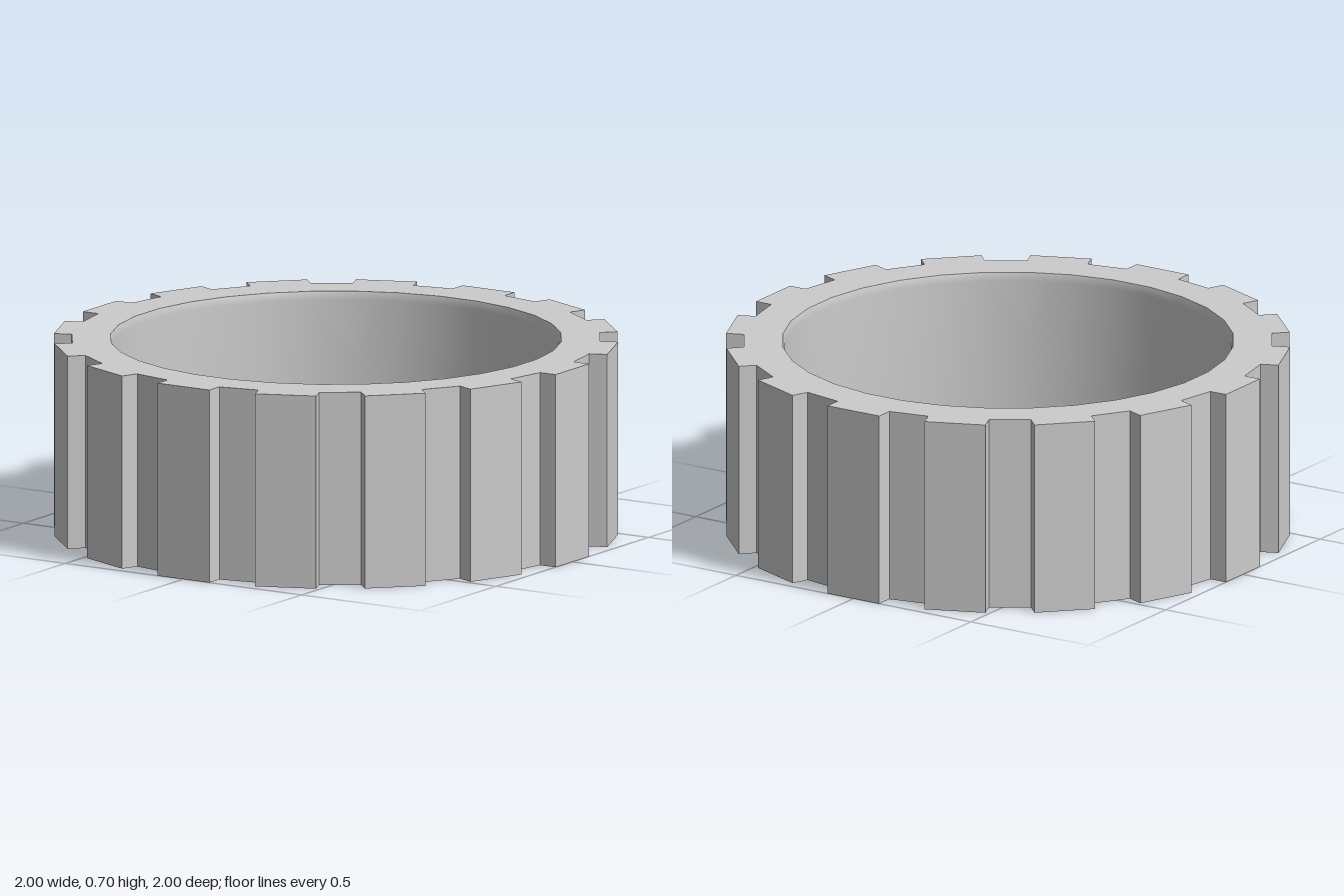
import * as THREE from 'three';

const HEIGHT = 0.7;
const TEETH = 16;
const ROOT = 0.935;     // distance of the tooth foot from the axis
const TIP = 1;          // distance of the flat tooth top from the axis
const HALF_TOOTH = 0.11;
const RIM = 0.804;      // bore radius at both rims
const BORE = 0.796;     // bore radius inside the rim chamfers
const SIDES = 32;

// Toothed outline, counter-clockwise, with parallel-sided teeth
function gearOutline() {
  const points = [];
  const centre = new THREE.Vector2();
  const tooth = [[ROOT, -1], [TIP, -1], [TIP, 1], [ROOT, 1]];
  for (let i = 0; i < TEETH; i++) {
    const angle = (i / TEETH) * Math.PI * 2;
    for (const [r, side] of tooth) {
      points.push(new THREE.Vector2(r, side * HALF_TOOTH).rotateAround(centre, angle));
    }
  }
  return points;
}

// Polygonal bore opening, clockwise
function boreOutline() {
  return Array.from({ length: SIDES }, (_, i) => {
    const a = -((i + 0.5) / SIDES) * Math.PI * 2;
    return new THREE.Vector2(RIM * Math.cos(a), RIM * Math.sin(a));
  });
}

// Flat-shaded upright wall following a closed outline
function wallGeometry(outline) {
  const positions = [];
  outline.forEach((a, i) => {
    const b = outline[(i + 1) % outline.length];
    positions.push(a.x, a.y, 0, b.x, b.y, 0, b.x, b.y, HEIGHT);
    positions.push(a.x, a.y, 0, b.x, b.y, HEIGHT, a.x, a.y, HEIGHT);
  });
  const geometry = new THREE.BufferGeometry();
  geometry.setAttribute('position', new THREE.Float32BufferAttribute(positions, 3));
  geometry.computeVertexNormals();
  return geometry.rotateX(-Math.PI / 2);
}

export function createModel() {
  const group = new THREE.Group();
  group.name = 'toothedRing';
  const material = new THREE.MeshStandardMaterial({ color: 0xcccccc });
  const add = (name, geometry) => {
    const mesh = new THREE.Mesh(geometry, material);
    mesh.name = name;
    group.add(mesh);
  };

  const outline = gearOutline();
  const face = new THREE.Shape(outline);
  face.holes.push(new THREE.Path(boreOutline()));

  // Outer teeth and the two flat end faces
  add('toothedWall', wallGeometry(outline));
  add('topFace', new THREE.ShapeGeometry(face).rotateX(-Math.PI / 2).translate(0, HEIGHT, 0));
  add('bottomFace', new THREE.ShapeGeometry(face).rotateX(Math.PI / 2));

  // Smooth bore with softened rims, profile running downward so it faces the axis
  const profile = [
    [RIM, HEIGHT], [BORE, HEIGHT - 0.03], [BORE, 0.03], [RIM, 0],
  ].map(([r, y]) => new THREE.Vector2(r, y));
  add('innerBore', new THREE.LatheGeometry(profile, SIDES, Math.PI / SIDES));

  return group;
}
